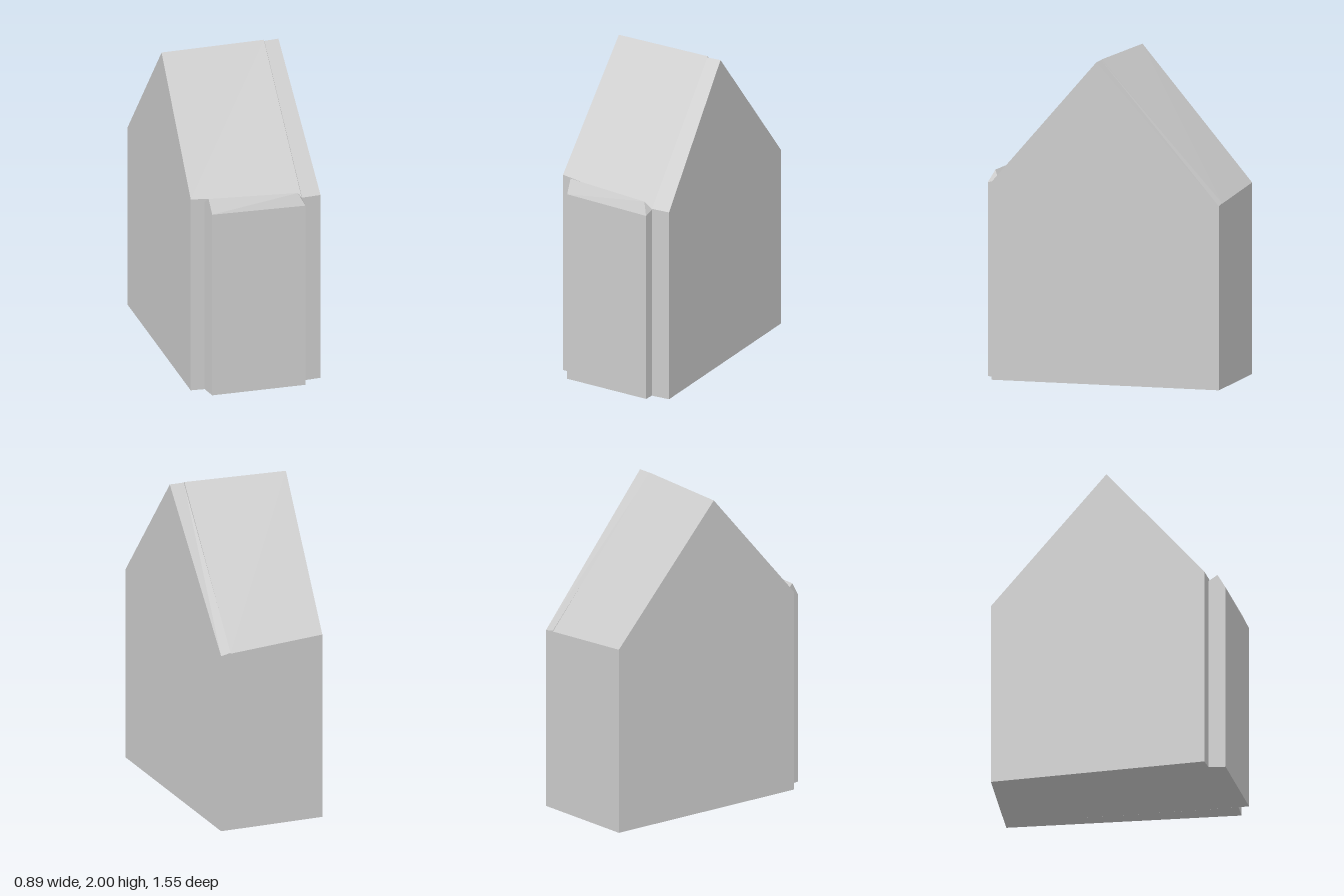
import * as THREE from 'three';

// Gabled block lofted between two five-sided sections.
// Section: front and back wall as [x, z, eave height], ridge as [x, z, height].
function gabledBlock(name, material, left, right) {
  const section = ([f, r, b]) => [
    [f[0], 0, f[1]], [f[0], f[2], f[1]], [r[0], r[2], r[1]],
    [b[0], b[2], b[1]], [b[0], 0, b[1]],
  ];
  const l = section(left), r = section(right);
  const pos = [];
  const tri = (a, b, c) => pos.push(...a, ...b, ...c);

  // Front wall, both roof slopes, back wall and floor
  for (let i = 0; i < 5; i++) {
    const j = (i + 1) % 5;
    tri(l[i], r[i], r[j]);
    tri(l[i], r[j], l[j]);
  }
  // Gable ends: rectangular wall plus roof triangle
  for (const [a, b, c] of [[0, 1, 3], [0, 3, 4], [1, 2, 3]]) {
    tri(l[a], l[b], l[c]);
    tri(r[c], r[b], r[a]);
  }

  const geometry = new THREE.BufferGeometry();
  geometry.setAttribute('position', new THREE.Float32BufferAttribute(pos, 3));
  geometry.computeVertexNormals();
  const mesh = new THREE.Mesh(geometry, material);
  mesh.name = name;
  return mesh;
}

export function createModel() {
  const group = new THREE.Group();
  group.name = 'gabledHouse';
  const grey = new THREE.MeshStandardMaterial({ color: 0xcccccc });
  grey.name = 'plain grey';

  // Main house with skewed plan
  group.add(gabledBlock('mainHouse', grey,
    [[-0.445, 0.54, 1.28], [-0.345, -0.065, 2], [-0.225, -0.78, 1.185]],
    [[0.23, 0.707, 1.22], [0.3, 0.04, 2], [0.38, -0.73, 1.145]]));

  // Narrow strip along the left side
  group.add(gabledBlock('sideStrip', grey,
    [[0.23, 0.71, 1.225], [0.3, 0.047, 1.995], [0.38, -0.73, 1.15]],
    [[0.35, 0.722, 1.225], [0.392, 0.055, 1.995], [0.443, -0.725, 1.138]]));

  // Shallow front bay, roof hipped at one end
  group.add(gabledBlock('frontBay', grey,
    [[-0.36, 0.665, 1.21], [-0.36, 0.615, 1.295], [-0.36, 0.555, 1.25]],
    [[0.22, 0.775, 1.2], [0.19, 0.735, 1.275], [0.23, 0.706, 1.22]]));

  return group;
}
